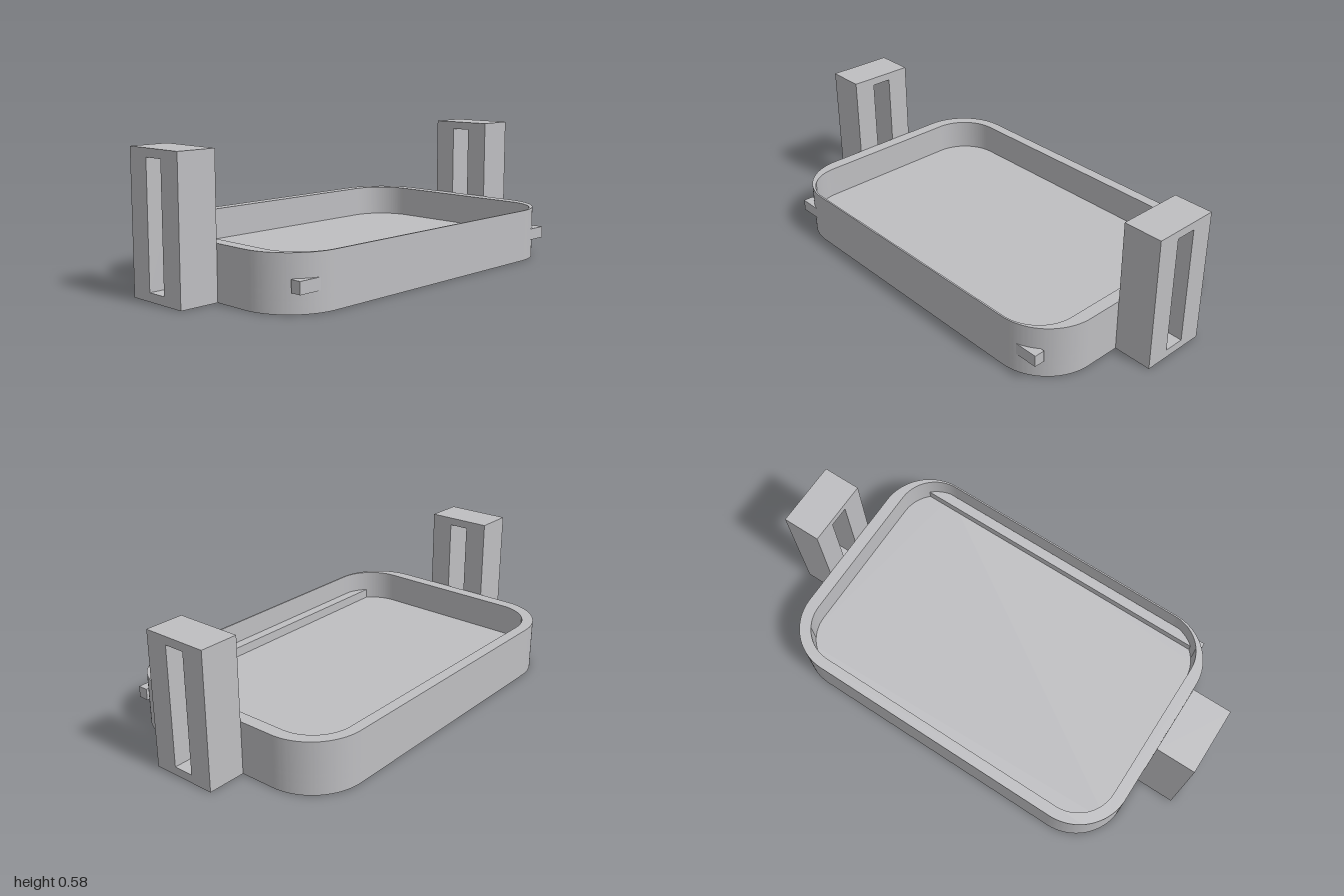
import * as THREE from 'three';
import { toCreasedNormals } from 'three/addons/utils/BufferGeometryUtils.js';

const plastic = new THREE.MeshStandardMaterial({ color: 0xbebec1 });
plastic.name = 'greyPlastic';

// Adds a rounded rectangle to a path
function roundedRect(path, x0, y0, x1, y1, r) {
  path.moveTo(x0 + r, y0);
  path.lineTo(x1 - r, y0);
  path.absarc(x1 - r, y0 + r, r, -Math.PI / 2, 0, false);
  path.lineTo(x1, y1 - r);
  path.absarc(x1 - r, y1 - r, r, 0, Math.PI / 2, false);
  path.lineTo(x0 + r, y1);
  path.absarc(x0 + r, y1 - r, r, Math.PI / 2, Math.PI, false);
  path.lineTo(x0, y0 + r);
  path.absarc(x0 + r, y0 + r, r, Math.PI, Math.PI * 1.5, false);
  return path;
}

function rect(path, x0, y0, x1, y1) {
  path.moveTo(x0, y0);
  path.lineTo(x1, y0);
  path.lineTo(x1, y1);
  path.lineTo(x0, y1);
  path.closePath();
  return path;
}

// One horizontal layer of the tray; shape y points to the back (-z)
function trayLayer(name, y0, y1, holes) {
  const shape = roundedRect(new THREE.Shape(), -0.83, -0.537, 0.83, 0.537, 0.235);
  shape.holes.push(...holes);
  let geo = new THREE.ExtrudeGeometry(shape, { depth: y1 - y0, bevelEnabled: false, curveSegments: 24 });
  geo.rotateX(-Math.PI / 2);
  geo = toCreasedNormals(geo, 0.5);
  const mesh = new THREE.Mesh(geo, plastic);
  mesh.name = name;
  mesh.position.y = y0;
  return mesh;
}

export function createModel() {
  const model = new THREE.Group();
  model.name = 'trayWithSlottedPosts';

  // Tray: base with two blind holes near the back, solid floor, rim wall
  const magnetHoles = [-0.61, 0.61].map((x) => new THREE.Path().absarc(x, 0.33, 0.075, 0, Math.PI * 2, true));
  const cavity = roundedRect(new THREE.Path(), -0.775, -0.53, 0.775, 0.488, 0.18);
  model.add(
    trayLayer('trayBase', 0, 0.05, magnetHoles),
    trayLayer('trayFloor', 0.05, 0.09, []),
    trayLayer('trayWall', 0.09, 0.227, [cavity])
  );

  // Bar along the front wall, its ends poking out at the rounded corners
  const bar = new THREE.Mesh(new THREE.BoxGeometry(1.53, 0.05, 0.046), plastic);
  bar.name = 'frontBar';
  bar.position.set(0, 0.108, 0.504);
  model.add(bar);

  // Side posts with a tall slot through each
  const postShape = rect(new THREE.Shape(), -0.146, 0, 0.146, 0.582);
  postShape.holes.push(rect(new THREE.Path(), -0.045, 0.036, 0.045, 0.547));
  const postGeo = new THREE.ExtrudeGeometry(postShape, { depth: 0.17, bevelEnabled: false });
  postGeo.rotateY(Math.PI / 2);
  for (const [name, x] of [['leftPost', 0.83], ['rightPost', -1]]) {
    const post = new THREE.Mesh(postGeo, plastic);
    post.name = name;
    post.position.x = x;
    model.add(post);
  }
  return model;
}
